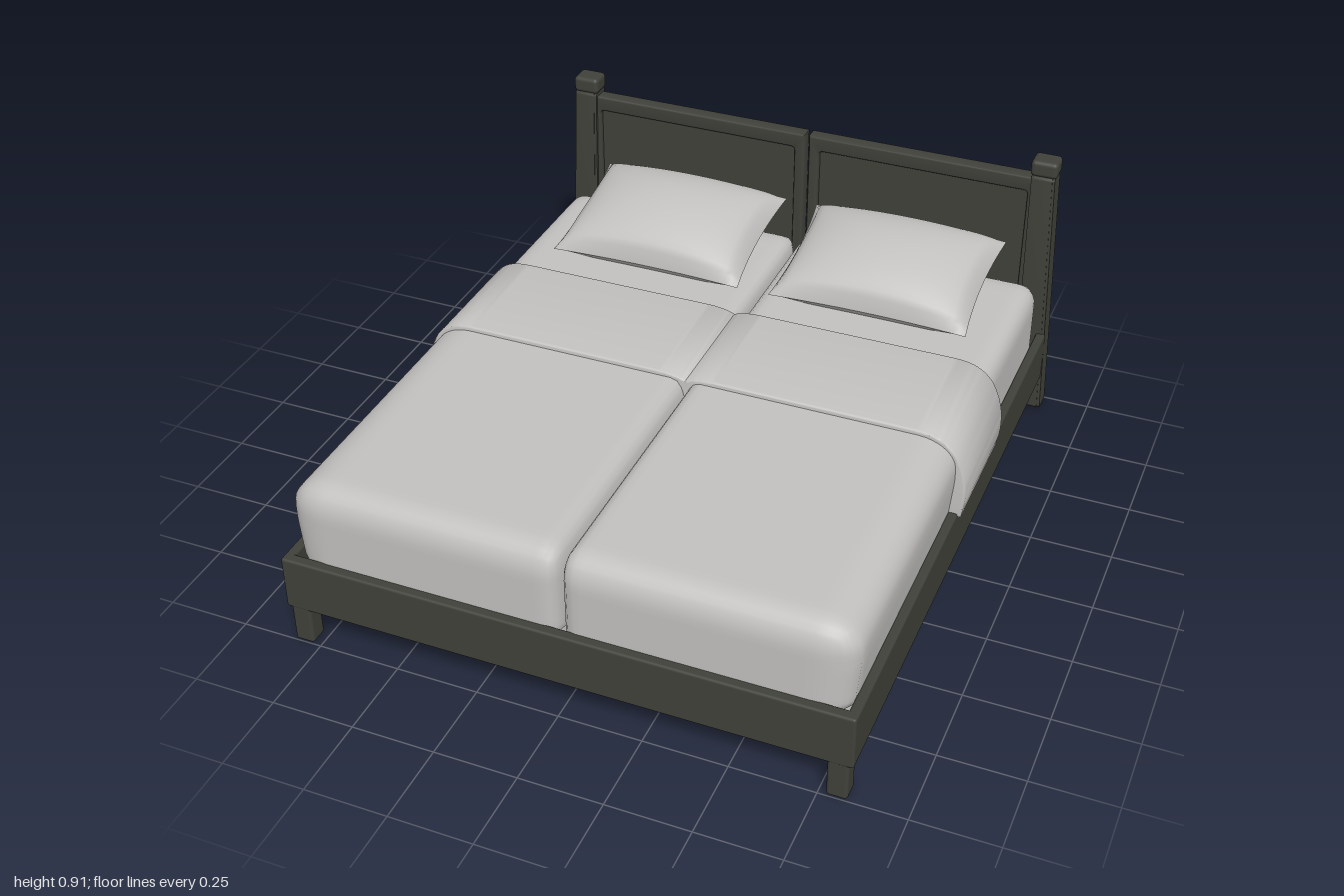
import * as THREE from 'three';
import { mergeVertices, toCreasedNormals } from 'three/addons/utils/BufferGeometryUtils.js';
import { RoundedBoxGeometry } from 'three/addons/geometries/RoundedBoxGeometry.js';

const wood = new THREE.MeshStandardMaterial({ color: 0x40413a });
wood.name = 'dark painted wood';
const cloth = new THREE.MeshStandardMaterial({ color: 0xc2c1bf });
cloth.name = 'pale linen';

function addMesh(group, name, geometry, material) {
  const mesh = new THREE.Mesh(geometry, material);
  mesh.name = name;
  group.add(mesh);
  return mesh;
}

// Wooden block between two corners, with softened edges
function block(min, max, radius = 0.008) {
  const size = max.map((v, i) => v - min[i]);
  const g = new RoundedBoxGeometry(...size, 3, radius);
  return g.translate(...min.map((v, i) => v + size[i] / 2));
}

// Move each vertex by a rule, then weld and smooth
function reshape(geometry, rule) {
  geometry.deleteAttribute('uv');
  geometry.deleteAttribute('normal');
  const g = mergeVertices(geometry, 1e-5);
  const pos = g.attributes.position;
  const p = new THREE.Vector3();
  for (let i = 0; i < pos.count; i++) {
    p.fromBufferAttribute(pos, i);
    rule(p);
    pos.setXYZ(i, p.x, p.y, p.z);
  }
  g.computeVertexNormals();
  return g;
}

// Soft cushion block; every one of its six sides has its own rounding radius
function softBlock(min, max, radiusLow, radiusHigh, bulge) {
  const size = max.map((v, i) => v - min[i]);
  const box = new THREE.BoxGeometry(...size, 36, 14, 44);
  box.translate(...min.map((v, i) => v + size[i] / 2));
  return reshape(box, (p) => {
    const core = [], d = [], r = [];
    p.toArray().forEach((v, i) => {
      const lo = min[i] + radiusLow[i], hi = max[i] - radiusHigh[i];
      core[i] = Math.min(Math.max(v, lo), hi);
      r[i] = v < lo ? radiusLow[i] : radiusHigh[i];
      d[i] = (v - core[i]) / r[i];
    });
    const len = Math.hypot(...d);
    const k = len > 0 ? Math.max(...d.map(Math.abs)) / len : 0;
    p.fromArray(core.map((c, i) => c + d[i] * k * r[i]));
    if (bulge) bulge(p);
  });
}

// Pillow with pinched corners and thin seams
function pillowGeometry(halfW, halfD, up, down) {
  return reshape(new THREE.BoxGeometry(2, 2, 2, 28, 1, 24), (p) => {
    const u = p.x, v = p.z;
    const puff = Math.pow(Math.max(0, (1 - u * u) * (1 - v * v)), 0.45);
    p.x = halfW * u * (1 - 0.05 * (1 - v * v));
    p.z = halfD * v * (1 - 0.05 * (1 - u * u));
    p.y = p.y > 0 ? up * puff : -down * puff;
  });
}

// Leaning headboard post, narrower at the top
function postGeometry(side) {
  const g = block([-0.5, 0, -1], [0.5, 0.86, -0.925], 0.012);
  return toCreasedNormals(reshape(g, (p) => {
    const t = p.y / 0.86;
    const width = 0.094 - 0.019 * t;
    const edge = Math.sign(p.x) * (Math.abs(p.x) > 0.495 ? 0.5 : 0.4);
    p.x = side * (0.807 - 0.025 * t) + edge * width;
  }), 0.9);
}

// One half of the headboard frame: border with a rounded opening
function borderGeometry() {
  const s = new THREE.Shape();
  s.moveTo(0.014, 0.126);
  s.lineTo(0.79, 0.126);
  s.lineTo(0.78, 0.838);
  s.lineTo(0.014, 0.838);
  s.closePath();
  const h = new THREE.Path();
  h.moveTo(0.035, 0.3);
  h.lineTo(0.035, 0.78);
  h.quadraticCurveTo(0.035, 0.802, 0.057, 0.802);
  h.lineTo(0.72, 0.802);
  h.quadraticCurveTo(0.742, 0.802, 0.742, 0.78);
  h.lineTo(0.742, 0.3);
  h.closePath();
  s.holes.push(h);
  const g = new THREE.ExtrudeGeometry(s, {
    depth: 0.036, bevelThickness: 0.007, bevelSize: 0.007, bevelSegments: 3, curveSegments: 6,
  });
  return toCreasedNormals(g.translate(0, 0, -0.981), 0.6);
}

// Folded throw hanging over both sides of the bed
function throwGeometry() {
  const s = new THREE.Shape();
  s.moveTo(0, 0.285);
  s.lineTo(0.848, 0.285);
  s.bezierCurveTo(0.866, 0.37, 0.85, 0.44, 0.82, 0.49);
  s.bezierCurveTo(0.79, 0.53, 0.76, 0.543, 0.7, 0.544);
  s.lineTo(0.09, 0.544);
  s.quadraticCurveTo(0.03, 0.544, 0, 0.528);
  s.quadraticCurveTo(-0.03, 0.544, -0.09, 0.544);
  s.lineTo(-0.7, 0.544);
  s.bezierCurveTo(-0.76, 0.543, -0.79, 0.53, -0.82, 0.49);
  s.bezierCurveTo(-0.85, 0.44, -0.866, 0.37, -0.848, 0.285);
  s.closePath();
  const g = new THREE.ExtrudeGeometry(s, {
    depth: 0.384, bevelThickness: 0.008, bevelSize: 0.006, bevelSegments: 3, curveSegments: 10,
  });
  return toCreasedNormals(g.translate(0, 0, -0.302), 0.7);
}

export function createModel() {
  const bed = new THREE.Group();
  bed.name = 'doubleBed';

  // Bed frame
  addMesh(bed, 'footRail', block([-0.845, 0.12, 0.965], [0.845, 0.292, 1]), wood);
  addMesh(bed, 'centreBackLeg', block([-0.042, 0, -1], [0.042, 0.15, -0.93], 0.012), wood);
  addMesh(bed, 'baseBoard', new THREE.BoxGeometry(1.65, 0.02, 1.92).translate(0, 0.145, 0.02), cloth);

  for (const side of [1, -1]) {
    const label = side > 0 ? 'left' : 'right';
    const span = (a, b) => (side > 0 ? [a, b] : [-b, -a]);

    // Side rail and front leg
    const [r0, r1] = span(0.815, 0.845);
    addMesh(bed, label + 'SideRail', block([r0, 0.12, -0.94], [r1, 0.292, 1]), wood);
    const [l0, l1] = span(0.772, 0.832);
    addMesh(bed, label + 'FrontLeg', block([l0, 0, 0.938], [l1, 0.15, 0.998], 0.01), wood);

    // Headboard post, cap, border and recessed panel
    addMesh(bed, label + 'Post', postGeometry(side), wood);
    const [c0, c1] = span(0.739, 0.825);
    addMesh(bed, label + 'PostCap', block([c0, 0.856, -1], [c1, 0.91, -0.925], 0.014), wood);
    const border = borderGeometry();
    if (side < 0) border.rotateY(Math.PI).translate(0, 0, -1.926);
    addMesh(bed, label + 'HeadboardBorder', border, wood);
    const [p0, p1] = span(0.015, 0.77);
    addMesh(bed, label + 'HeadboardPanel', block([p0, 0.13, -0.988], [p1, 0.83, -0.956], 0.004), wood);

    // Mattress and duvet halves: tight rounding at the centre, wide outside
    const half = (z0, z1, x0, x1, y0, y1, inner, outer, top, bulge) => {
      const [a, b] = span(x0, x1);
      const lowX = side > 0 ? inner : outer, highX = side > 0 ? outer : inner;
      return softBlock([a, y0, z0], [b, y1, z1], [lowX, 0.03, 0.06], [highX, top, 0.07], bulge);
    };
    addMesh(bed, label + 'Mattress',
      half(-0.9, 0.94, 0.004, 0.815, 0.15, 0.507, 0.04, 0.06, 0.06), cloth);
    addMesh(bed, label + 'Duvet',
      half(-0.25, 0.972, 0.001, 0.828, 0.24, 0.535, 0.04, 0.12, 0.09, (p) => {
        // Slight sag of the hanging sides towards the hem
        if (p.y < 0.4) p.x -= side * Math.max(0, Math.abs(p.x) - 0.6) * (0.4 - p.y) * 0.4;
      }), cloth);

    // Pillow leaning towards the headboard
    const pillow = addMesh(bed, label + 'Pillow', pillowGeometry(0.32, 0.228, 0.115, 0.08), cloth);
    pillow.position.set(side * 0.372, 0.572, -0.685);
    pillow.rotation.x = 0.2;
  }

  // Throw across both halves
  addMesh(bed, 'throwBlanket', throwGeometry(), cloth);
  return bed;
}
